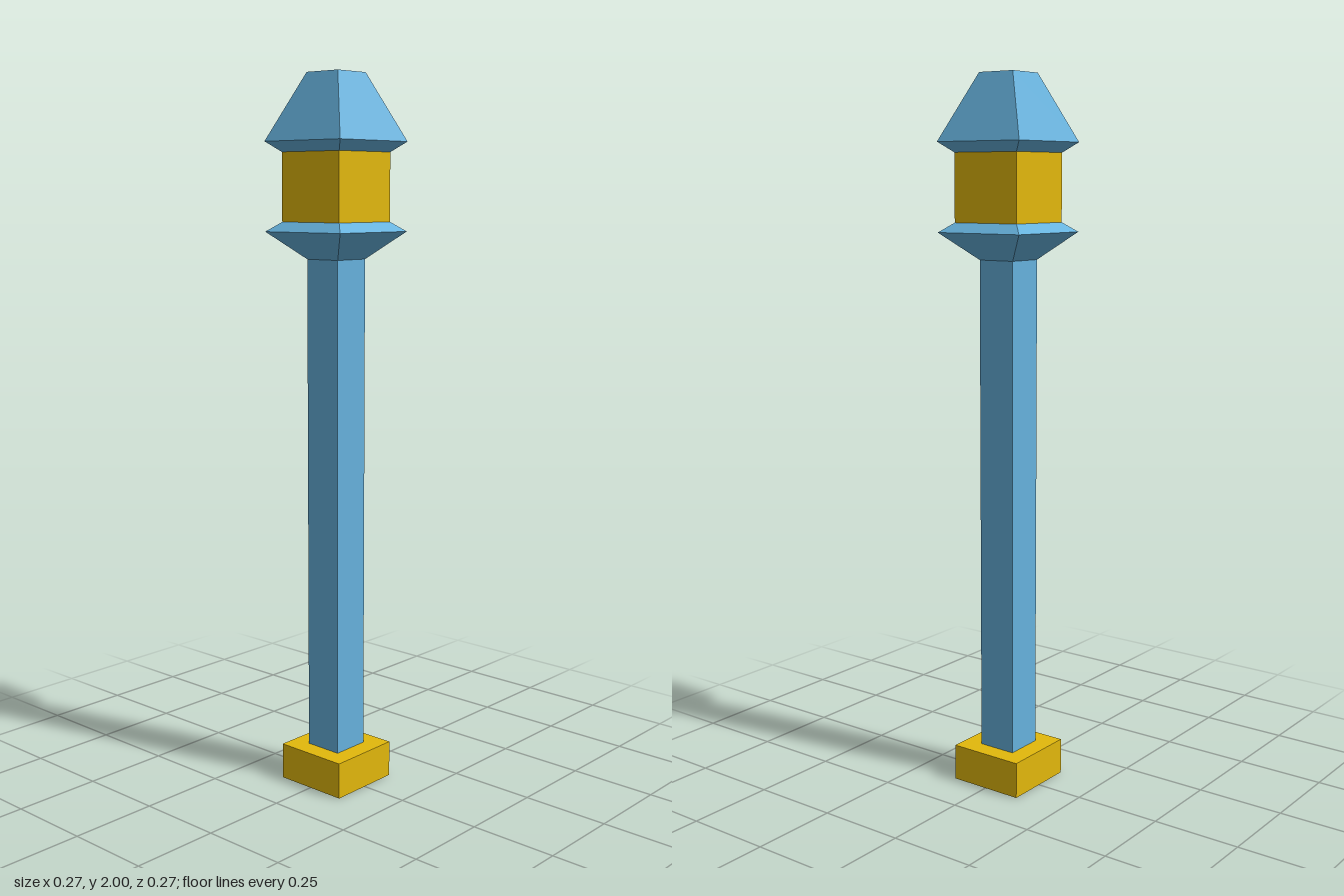
import * as THREE from 'three';

const BLUE = 0x66b2dd;
const YELLOW = 0xe2b80c;

// Square part from a profile of [half width, height] points, listed bottom to top.
function squarePart(name, color, profile) {
  const points = profile.map(([half, y]) => new THREE.Vector2(half * Math.SQRT2, y));
  const geometry = new THREE.LatheGeometry(points, 4, Math.PI / 4).toNonIndexed();
  geometry.computeVertexNormals();
  const mesh = new THREE.Mesh(geometry, new THREE.MeshStandardMaterial({ color, flatShading: true }));
  mesh.name = name;
  return mesh;
}

export function createModel() {
  const lampPost = new THREE.Group();
  lampPost.name = 'lampPost';

  const shaft = 0.056, base = 0.11, lantern = 0.104, eave = 0.137;

  lampPost.add(
    // Foot: yellow block with a blue underside
    squarePart('baseUnderside', BLUE, [[0, 0], [base, 0]]),
    squarePart('base', YELLOW, [[base, 0], [base, 0.103], [shaft, 0.103]]),
    // Slender post
    squarePart('shaft', BLUE, [[shaft, 0.103], [shaft, 1.502]]),
    // Flared tray that carries the lantern
    squarePart('collar', BLUE, [[shaft, 1.502], [eave, 1.577], [lantern, 1.603]]),
    // Glowing box
    squarePart('lantern', YELLOW, [[lantern, 1.603], [lantern, 1.79]]),
    // Tapered cap with bevelled eaves and flat top
    squarePart('roof', BLUE, [[lantern, 1.79], [eave, 1.818], [shaft, 2], [0, 2]])
  );

  return lampPost;
}
